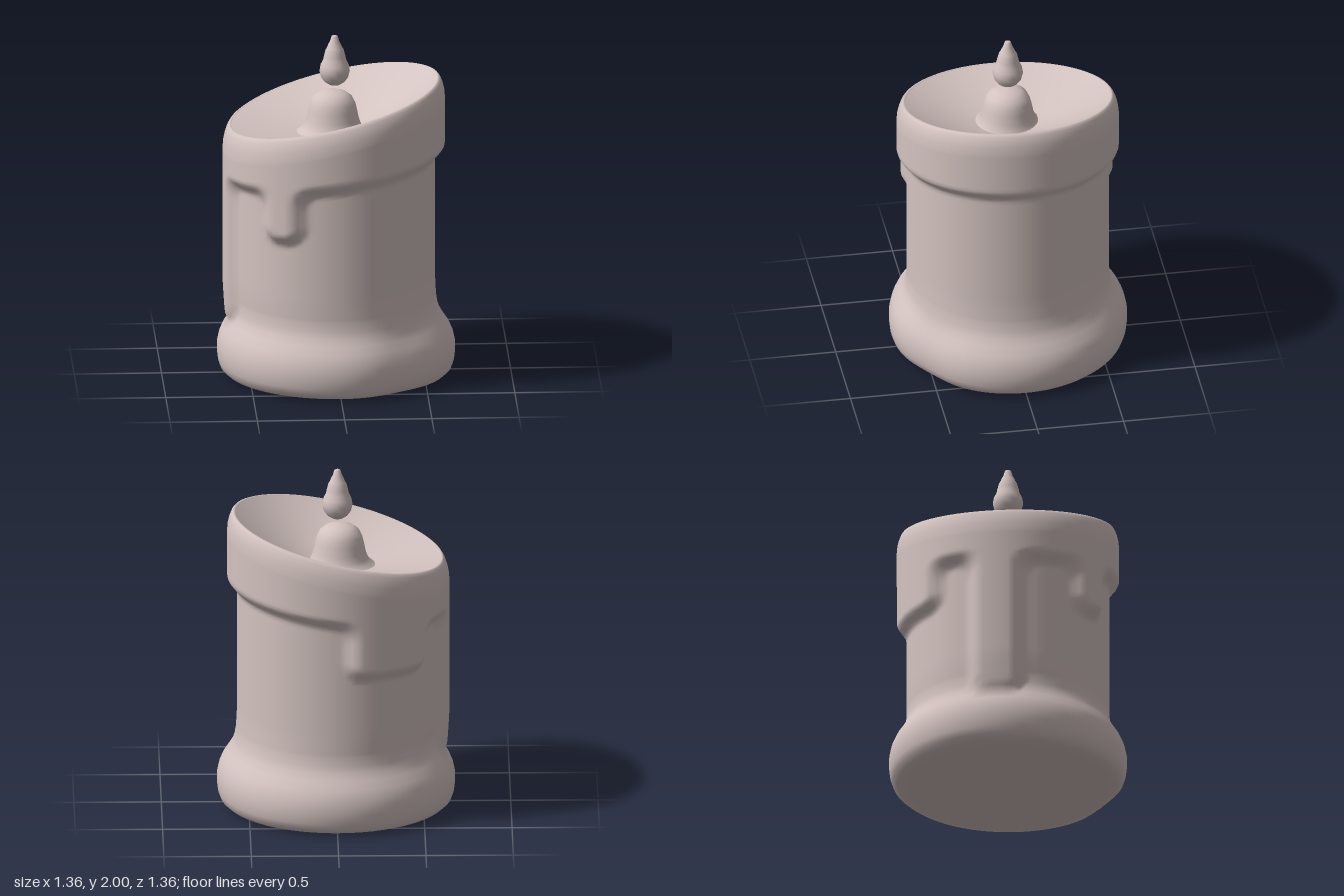
import * as THREE from 'three';

const SEG = 112;
const BODY_R = 0.58;
const DRIP = 0.057;
const rad = THREE.MathUtils.degToRad;
const step = THREE.MathUtils.smoothstep;

// Drips running down from the thick upper band: angle, half width (arc), lowest point, corner radius
const drips = [
  { angle: rad(122), half: 0.125, bottom: 0.91, corner: 0.1 },
  { angle: rad(180), half: 0.155, bottom: 0.31, corner: 0.1 },
  { angle: rad(240), half: 0.27, bottom: 0.92, corner: 0.1 },
];

// Profile of the swollen foot: [radius, y]
const foot = [
  [0.6, 0.008], [0.635, 0.016], [0.662, 0.04], [0.676, 0.08], [0.682, 0.13], [0.681, 0.18],
  [0.67, 0.23], [0.65, 0.275], [0.62, 0.32], [0.597, 0.36], [0.585, 0.4], [0.58, 0.45],
];

function smoothMin(a, b, k) {
  const h = Math.max(k - Math.abs(a - b), 0) / k;
  return Math.min(a, b) - h * h * k * 0.25;
}

// Thickness of the melted wax layer at an angle and height
function waxThickness(a, y) {
  let d = 1.235 + 0.075 * Math.cos(a) - y;
  for (const p of drips) {
    const arc = Math.abs(a - p.angle) * 0.61;
    const qx = arc - p.half + p.corner;
    const qy = p.bottom - y + p.corner;
    const box = Math.hypot(Math.max(qx, 0), Math.max(qy, 0)) + Math.min(Math.max(qx, qy), 0) - p.corner;
    d = smoothMin(d, box, 0.1);
  }
  return DRIP * (1 - step(d, -0.06, 0.03));
}

function footRadius(a, y) {
  let r = BODY_R;
  for (let i = 0; i < foot.length - 1; i++) {
    const [r0, y0] = foot[i], [r1, y1] = foot[i + 1];
    if (y >= y0 && y <= y1) r = r0 + (r1 - r0) * (y - y0) / (y1 - y0);
  }
  // slight flat on the front of the foot
  return r - 0.025 * Math.exp(-(((a - 0.97) / 0.3) ** 2)) * (1 - step(y, 0.25, 0.42));
}

const centreX = (y) => -0.013 * step(y, 0.3, 0.6);
const rimPlane = (x) => 1.615 + 0.235 * x;

function wall(a, y) {
  const r = Math.max(footRadius(a, y), BODY_R + waxThickness(a, y));
  return [centreX(y) + r * Math.cos(a), y, r * Math.sin(a)];
}

// Joins closed rings of points, each ring given as a function of the angle
function ringGeometry(rings) {
  const pos = [], index = [];
  rings.forEach((ring, i) => {
    for (let j = 0; j < SEG; j++) {
      pos.push(...ring((j / SEG) * Math.PI * 2));
      if (i === rings.length - 1) continue;
      const A = i * SEG + j, B = i * SEG + (j + 1) % SEG;
      index.push(A, A + SEG, B, B, A + SEG, B + SEG);
    }
  });
  const g = new THREE.BufferGeometry();
  g.setAttribute('position', new THREE.Float32BufferAttribute(pos, 3));
  g.setIndex(index);
  g.computeVertexNormals();
  return g;
}

function lathe(points, segments) {
  return new THREE.LatheGeometry(points.map(([x, y]) => new THREE.Vector2(x, y)), segments);
}

export function createModel() {
  const group = new THREE.Group();
  const wax = new THREE.MeshStandardMaterial({ color: 0xd3c3c0 });
  wax.name = 'paleWax';
  const add = (name, geometry, x = 0) => {
    const mesh = new THREE.Mesh(geometry, wax);
    mesh.name = name;
    mesh.position.x = x;
    group.add(mesh);
  };

  // Outer wall with foot, drips and rounded slanted rim
  const rings = foot.map(([, y]) => (a) => wall(a, y));
  const ROWS = 56;
  const topR = BODY_R + DRIP;
  const rimPoint = (a, inset, drop) => {
    const x = -0.013 + (topR - inset) * Math.cos(a);
    return [x, rimPlane(x) - drop, (topR - inset) * Math.sin(a)];
  };
  for (let i = 1; i <= ROWS; i++) {
    rings.push((a) => {
      const yTop = rimPoint(a, 0, 0.13)[1];
      return wall(a, 0.45 + (yTop - 0.45) * i / ROWS);
    });
  }
  for (const [inset, drop] of [[0.004, 0.085], [0.012, 0.05], [0.023, 0.02], [0.033, 0.005], [0.042, 0], [0.05, 0.006]]) {
    rings.push((a) => rimPoint(a, inset, drop));
  }
  add('candleBody', ringGeometry(rings));

  // Hollow melted bowl inside the rim
  const bowlR = topR - 0.05;
  const bowl = [];
  for (let i = 0; i <= 16; i++) {
    const f = 1 - i / 16;
    bowl.push((a) => {
      const x = bowlR * f * Math.cos(a);
      const rise = rimPlane(x / Math.max(f, 0.01) - 0.013) - 0.006 - 1.42;
      return [x - 0.013, 1.42 + rise * f ** 1.5, bowlR * f * Math.sin(a)];
    });
  }
  add('bowl', ringGeometry(bowl));

  // Flat underside
  add('underside', ringGeometry([() => [0, 0, 0], (a) => {
    const p = wall(a, 0.008);
    return [p[0] * 0.97, 0, p[2] * 0.97];
  }, (a) => wall(a, 0.008)]));

  // Domed wick stub in the middle of the bowl
  add('wickMound', lathe([
    [0.205, 1.43], [0.178, 1.45], [0.162, 1.475], [0.15, 1.51], [0.14, 1.56], [0.13, 1.6],
    [0.112, 1.635], [0.08, 1.66], [0.04, 1.673], [0, 1.676],
  ], 28), -0.02);

  // Floating flame drop with a stepped tip
  add('flame', lathe([
    [0, 1.703], [0.03, 1.708], [0.058, 1.726], [0.078, 1.753], [0.087, 1.79], [0.081, 1.825],
    [0.066, 1.855], [0.061, 1.88], [0.052, 1.915], [0.045, 1.925], [0.037, 1.945],
    [0.027, 1.965], [0.018, 1.995], [0.01, 2], [0, 2],
  ], 28), -0.008);

  return group;
}
